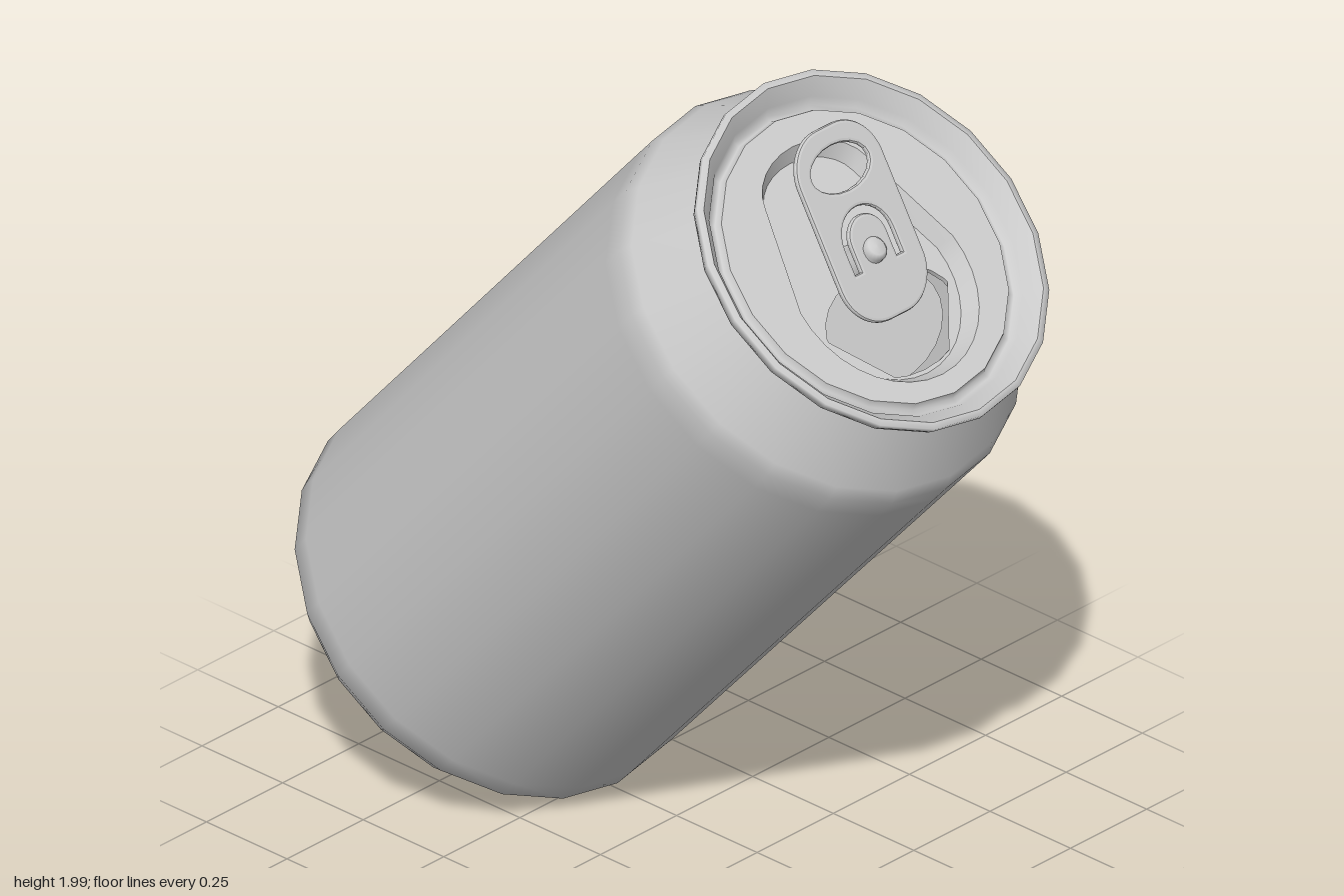
import * as THREE from 'three';

const SIDES = 20;
const grey = new THREE.MeshStandardMaterial({ color: 0xcccccc, side: THREE.DoubleSide });
const V = (x, y) => new THREE.Vector2(x, y);

function add(parent, name, geometry) {
  const mesh = new THREE.Mesh(geometry, grey);
  mesh.name = name;
  parent.add(mesh);
  return mesh;
}

function lathe(pairs) {
  return new THREE.LatheGeometry(pairs.map(([r, y]) => V(r, y)), SIDES);
}

// Flat shape laid horizontally at height y
function sheet(outline, hole, y) {
  const shape = new THREE.Shape(outline);
  if (hole) shape.holes.push(new THREE.Path(hole));
  return new THREE.ShapeGeometry(shape).rotateX(-Math.PI / 2).translate(0, y, 0);
}

// Wall joining two outlines of equal point count
function wall(a, ya, b, yb) {
  const pos = [], idx = [], n = a.length;
  for (let i = 0; i < n; i++) {
    pos.push(a[i].x, ya, -a[i].y, b[i].x, yb, -b[i].y);
    const p = 2 * i, q = 2 * ((i + 1) % n);
    idx.push(p, p + 1, q, q, p + 1, q + 1);
  }
  const g = new THREE.BufferGeometry();
  g.setAttribute('position', new THREE.Float32BufferAttribute(pos, 3));
  g.setIndex(idx);
  g.computeVertexNormals();
  return g;
}

function ellipse(cx, rx, ry, from, to, steps) {
  const pts = [];
  for (let i = 0; i <= steps; i++) {
    const a = THREE.MathUtils.degToRad(from + (to - from) * i / steps);
    pts.push(V(cx + rx * Math.cos(a), ry * Math.sin(a)));
  }
  return pts;
}

// Teardrop outline of the sunken part of the lid
function teardrop(inset) {
  return [
    ...ellipse(0.07, 0.25 - inset, 0.25 - inset, -95, 95, 18),
    ...ellipse(-0.18, 0.12 - inset, 0.17 - inset, 100, 260, 12),
  ];
}

function tabGeometry() {
  const x0 = -0.295, x1 = 0.15, w = 0.127, r = 0.1;
  const s = new THREE.Shape();
  s.absarc(x1 - r, w - r, r, 0, Math.PI / 2);
  s.absarc(x0 + r, w - r, r, Math.PI / 2, Math.PI);
  s.absarc(x0 + r, r - w, r, Math.PI, Math.PI * 1.5);
  s.absarc(x1 - r, r - w, r, Math.PI * 1.5, Math.PI * 2);
  // Finger hole
  s.holes.push(new THREE.Path(ellipse(-0.203, 0.062, 0.1, 0, 342, 19)));
  // Curved slot around the rivet tongue
  const slot = new THREE.Path();
  slot.moveTo(0.04, 0.085);
  slot.lineTo(-0.03, 0.085);
  slot.absarc(-0.03, 0, 0.085, Math.PI / 2, Math.PI * 1.5, false);
  slot.lineTo(0.04, -0.085);
  slot.lineTo(0.04, -0.05);
  slot.lineTo(-0.03, -0.05);
  slot.absarc(-0.03, 0, 0.05, Math.PI * 1.5, Math.PI / 2, true);
  slot.lineTo(0.04, 0.05);
  s.holes.push(slot);
  return new THREE.ExtrudeGeometry(s, {
    depth: 0.006, bevelThickness: 0.005, bevelSize: 0.008, bevelSegments: 2, curveSegments: 8,
  }).rotateX(-Math.PI / 2);
}

export function createModel() {
  const model = new THREE.Group();
  model.name = 'drinkCan';
  const can = new THREE.Group();
  can.name = 'tiltedCan';
  can.position.set(-0.662, 0.249, 0);
  can.rotation.z = THREE.MathUtils.degToRad(-41.3);
  model.add(can);

  // Body with domed base, tapered foot and shoulder
  add(can, 'base', lathe([[0, 0.12], [0.12, 0.11], [0.24, 0.075], [0.32, 0.025], [0.345, 0], [0.362, 0]]));
  add(can, 'body', lathe([
    [0.362, 0], [0.409, 0.055], [0.473, 0.09], [0.512, 0.143], [0.514, 0.2],
    [0.52, 1.62], [0.52, 1.683], [0.505, 1.715], [0.412, 1.885],
  ]));

  // Seam rim, then the wall and groove inside it
  add(can, 'rim', lathe([[0.412, 1.885], [0.418, 1.9], [0.447, 1.9], [0.453, 1.915], [0.453, 1.928], [0.437, 1.93]]));
  add(can, 'rimWall', lathe([[0.437, 1.93], [0.403, 1.893], [0.392, 1.872], [0.377, 1.872], [0.37, 1.89]]));

  // Lid panel with a sunken teardrop and the drinking hole
  const lid = new THREE.Group();
  lid.name = 'lid';
  can.add(lid);
  const top = teardrop(0), low = teardrop(0.025);
  const mouth = ellipse(0.155, 0.13, 0.2, 0, 345, 23);
  add(lid, 'panel', sheet(ellipse(0, 0.37, 0.37, 0, 342, 19), top, 1.89));
  add(lid, 'recessWall', wall(top, 1.89, low, 1.85));
  add(lid, 'recessFloor', sheet(low, mouth, 1.85));
  add(lid, 'mouthLip', wall(mouth, 1.85, mouth, 1.838));

  // Flap pushed inward, hinged under the tab
  const flap = add(lid, 'mouthFlap', sheet(mouth.map(p => V(p.x - 0.025, p.y * 0.98)), null, 0));
  flap.position.set(0.025, 1.845, 0);
  flap.rotation.z = THREE.MathUtils.degToRad(-22);

  // Raised pull tab and its rivet
  const tab = add(can, 'pullTab', tabGeometry());
  tab.position.set(0, 1.92, 0);
  tab.rotation.z = THREE.MathUtils.degToRad(-17.7);
  add(can, 'rivet', lathe([[0.05, 1.85], [0.034, 1.865], [0.032, 1.935], [0.022, 1.945], [0, 1.947]]));

  return model;
}
